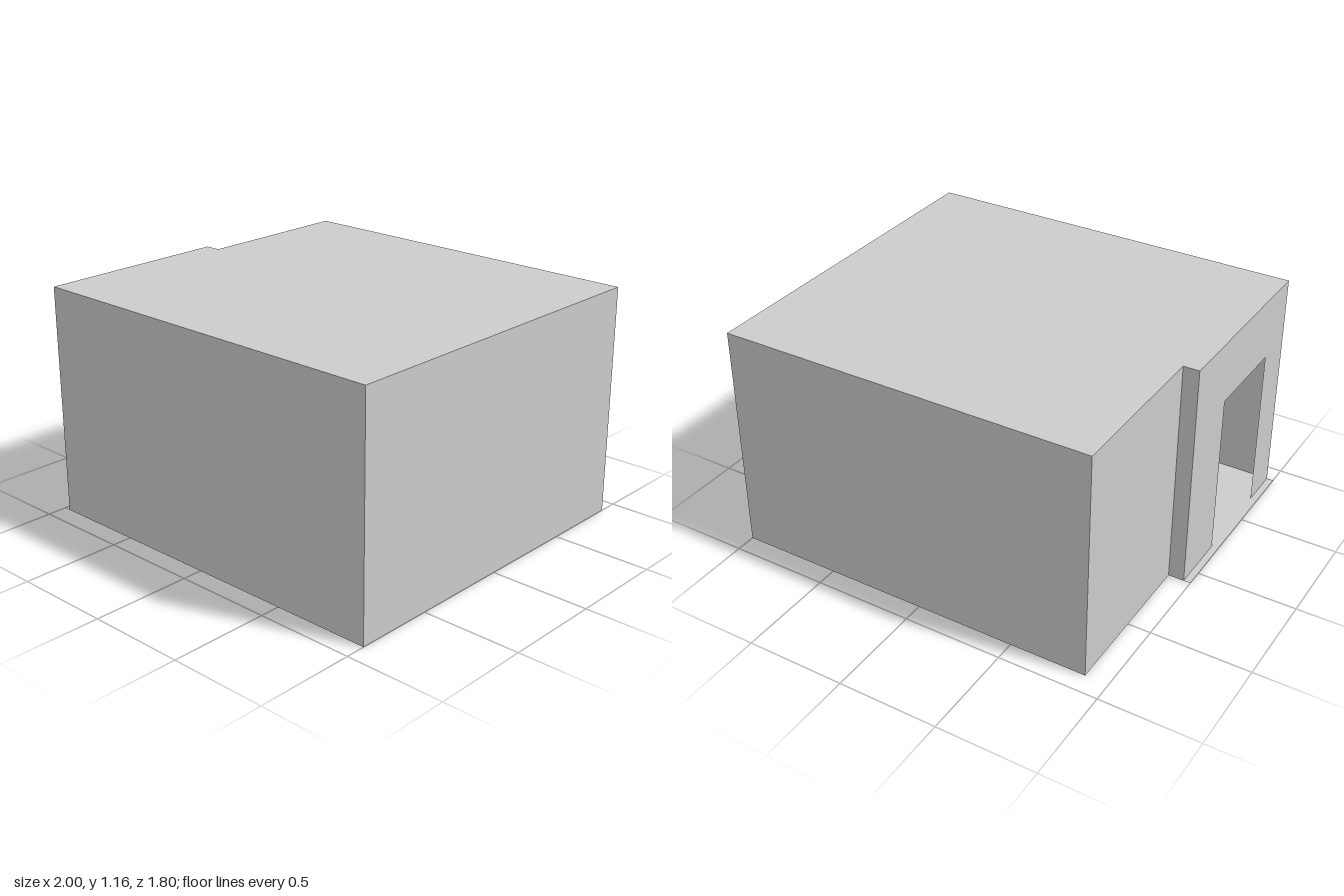
import * as THREE from 'three';

const HEIGHT = 1.163;
const material = new THREE.MeshStandardMaterial({ color: 0xcccccc, flatShading: true, side: THREE.DoubleSide });

// L-shaped plan as [x, z] corners; westX is the outer face of the projecting side
const plan = (westX) => [
  [westX, 0.9], [1, 0.9], [1, -0.9], [-0.885, -0.9], [-0.885, -0.087], [westX, -0.087],
];

function panel(name, points) {
  const shape = new THREE.Shape(points.map(([x, y]) => new THREE.Vector2(x, y)));
  const mesh = new THREE.Mesh(new THREE.ShapeGeometry(shape), material);
  mesh.name = name;
  return mesh;
}

// Horizontal sheet covering a plan at height y
function slab(name, corners, y) {
  const mesh = panel(name, corners.map(([x, z]) => [x, -z]));
  mesh.rotation.x = -Math.PI / 2;
  mesh.position.y = y;
  return mesh;
}

// Upright sheet from corner a to corner b, facing outwards, with an optional doorway
function wall(name, a, b, door) {
  const dx = b[0] - a[0], dz = b[1] - a[1];
  const length = Math.hypot(dx, dz);
  const outline = [[0, 0]];
  if (door) outline.push([door.start, 0], [door.start, door.height], [door.end, door.height], [door.end, 0]);
  outline.push([length, 0], [length, HEIGHT], [0, HEIGHT]);
  const mesh = panel(name, outline);
  mesh.rotation.y = Math.atan2(-dz, dx);
  mesh.position.set(a[0], 0, a[1]);
  return mesh;
}

export function createModel() {
  const room = new THREE.Group();
  room.name = 'room';

  // Floor reaches past the doorway as a narrow threshold
  room.add(slab('floor', plan(-1), 0));

  const corners = plan(-0.965);
  room.add(slab('ceiling', corners, HEIGHT));

  // Walls around the plan; the last one holds the doorway
  const names = ['frontWall', 'leftWall', 'backWall', 'recessedRightWall', 'returnWall', 'doorWall'];
  const door = { start: 0.312, end: 0.777, height: 0.84 };
  names.forEach((name, i) => {
    const next = corners[(i + 1) % corners.length];
    room.add(wall(name, corners[i], next, name === 'doorWall' ? door : null));
  });

  return room;
}
